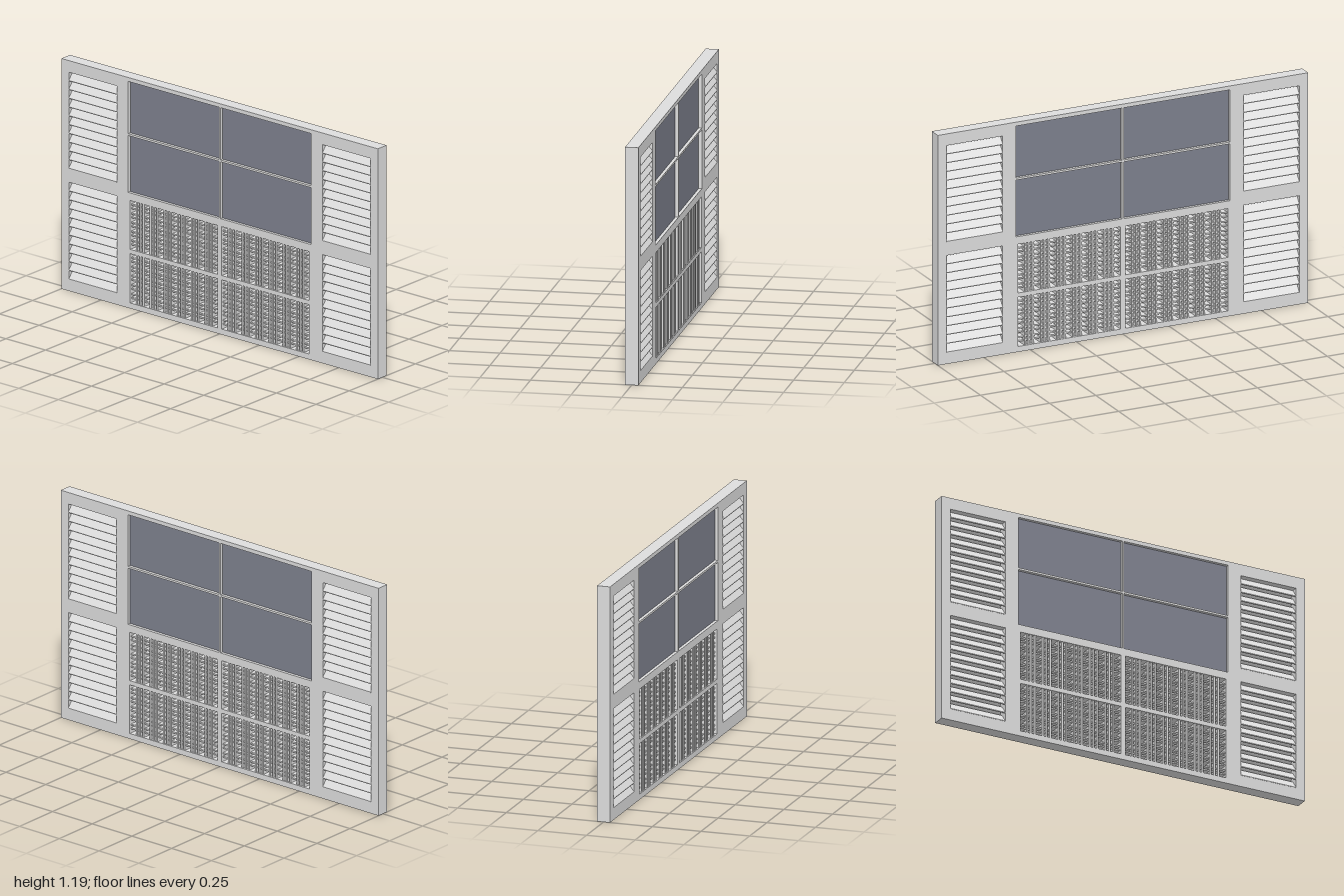
import * as THREE from 'three';
import { mergeGeometries } from 'three/addons/utils/BufferGeometryUtils.js';

const HALF = 0.033;    // half thickness of the panel
const HEIGHT = 1.187;

const frameMat = new THREE.MeshStandardMaterial({ color: 0xdcdcdc });
frameMat.name = 'pale grey paint';
const glassMat = new THREE.MeshStandardMaterial({ color: 0x7d808d });
glassMat.name = 'blue grey glass';

// Openings as [z0, z1, y0, y1] for the +z half; the other half is mirrored
const shutterOpenings = [[0.65, 0.952, 0.059, 0.56], [0.65, 0.952, 0.63, 1.127]];
const windowOpenings = [[0.005, 0.578, 0.595, 0.888], [0.005, 0.578, 0.898, 1.167]];
const latticeOpenings = [[0.013, 0.566, 0.028, 0.282], [0.013, 0.566, 0.304, 0.556]];

const mirrored = (list) => list.flatMap(([a, b, c, d]) => [[a, b, c, d], [-b, -a, c, d]]);

function rectPath(path, [a, b, c, d]) {
  path.moveTo(a, c);
  path.lineTo(b, c);
  path.lineTo(b, d);
  path.lineTo(a, d);
  path.closePath();
  return path;
}

function add(group, name, geometry, material) {
  const mesh = new THREE.Mesh(geometry, material);
  mesh.name = name;
  group.add(mesh);
  return mesh;
}

function box(sx, sy, sz, y, z) {
  return new THREE.BoxGeometry(sx, sy, sz).translate(0, y, z);
}

// Solid frame with every opening cut through
function frameGeometry() {
  const shape = rectPath(new THREE.Shape(), [-1, 1, 0, HEIGHT]);
  for (const o of mirrored([...shutterOpenings, ...windowOpenings, ...latticeOpenings])) {
    shape.holes.push(rectPath(new THREE.Path(), o));
  }
  return new THREE.ExtrudeGeometry(shape, { depth: HALF * 2, bevelEnabled: false })
    .translate(0, 0, -HALF)
    .rotateY(Math.PI / 2);
}

// Stack of chevron slats sloping down towards both faces
function shutterGeometry([z0, z1, y0, y1]) {
  const count = 11;
  const step = (y1 - y0) / count;
  const rise = step * 1.0;
  const thick = 0.007;
  const out = HALF + 0.001;
  const profile = new THREE.Shape();
  profile.moveTo(-out, 0);
  profile.lineTo(-out + 0.006, 0);
  profile.lineTo(0, rise - thick);
  profile.lineTo(out - 0.006, 0);
  profile.lineTo(out, 0);
  profile.lineTo(out, 0.003);
  profile.lineTo(0, rise);
  profile.lineTo(-out, 0.003);
  profile.closePath();
  const slat = new THREE.ExtrudeGeometry(profile, { depth: z1 - z0, bevelEnabled: false });
  const slats = [];
  for (let i = 0; i < count; i++) slats.push(slat.clone().translate(0, y0 + i * step, z0));
  return mergeGeometries(slats);
}

// Centres of the bars left between a run of gaps, scaled to fill the span
function barCentres(gaps, bar, from, to) {
  const total = gaps.reduce((s, g) => s + g, 0);
  const scale = (to - from - bar * (gaps.length - 1)) / total;
  const centres = [];
  let p = from;
  for (let i = 0; i < gaps.length - 1; i++) {
    p += gaps[i] * scale;
    centres.push(p + bar / 2);
    p += bar;
  }
  return centres;
}

// Grille of upright and level bars with wide and narrow gaps
function latticeGeometry([z0, z1, y0, y1]) {
  const zGaps = [3];
  for (let i = 0; i < 6; i++) zGaps.push(1, 1, 3);
  const yGaps = [1.7];
  for (let i = 0; i < 5; i++) yGaps.push(1, 1.7);
  const zBar = 0.0095;
  const yBar = 0.0075;
  const bars = [];
  for (const z of barCentres(zGaps, zBar, z0, z1)) {
    bars.push(box(0.058, y1 - y0, zBar, (y0 + y1) / 2, z));
  }
  for (const y of barCentres(yGaps, yBar, y0, y1)) {
    bars.push(box(0.046, yBar, z1 - z0, y, (z0 + z1) / 2));
  }
  return mergeGeometries(bars);
}

export function createModel() {
  const model = new THREE.Group();
  model.name = 'shutteredWindowPanel';

  add(model, 'frame', frameGeometry(), frameMat);

  for (const o of mirrored(shutterOpenings)) add(model, 'shutterSlats', shutterGeometry(o), frameMat);

  for (const o of mirrored(latticeOpenings)) add(model, 'latticeGrille', latticeGeometry(o), frameMat);

  // Recessed glass panes
  for (const [z0, z1, y0, y1] of mirrored(windowOpenings)) {
    add(model, 'windowPane', box(0.034, y1 - y0, z1 - z0, (y0 + y1) / 2, (z0 + z1) / 2), glassMat);
  }

  return model;
}
